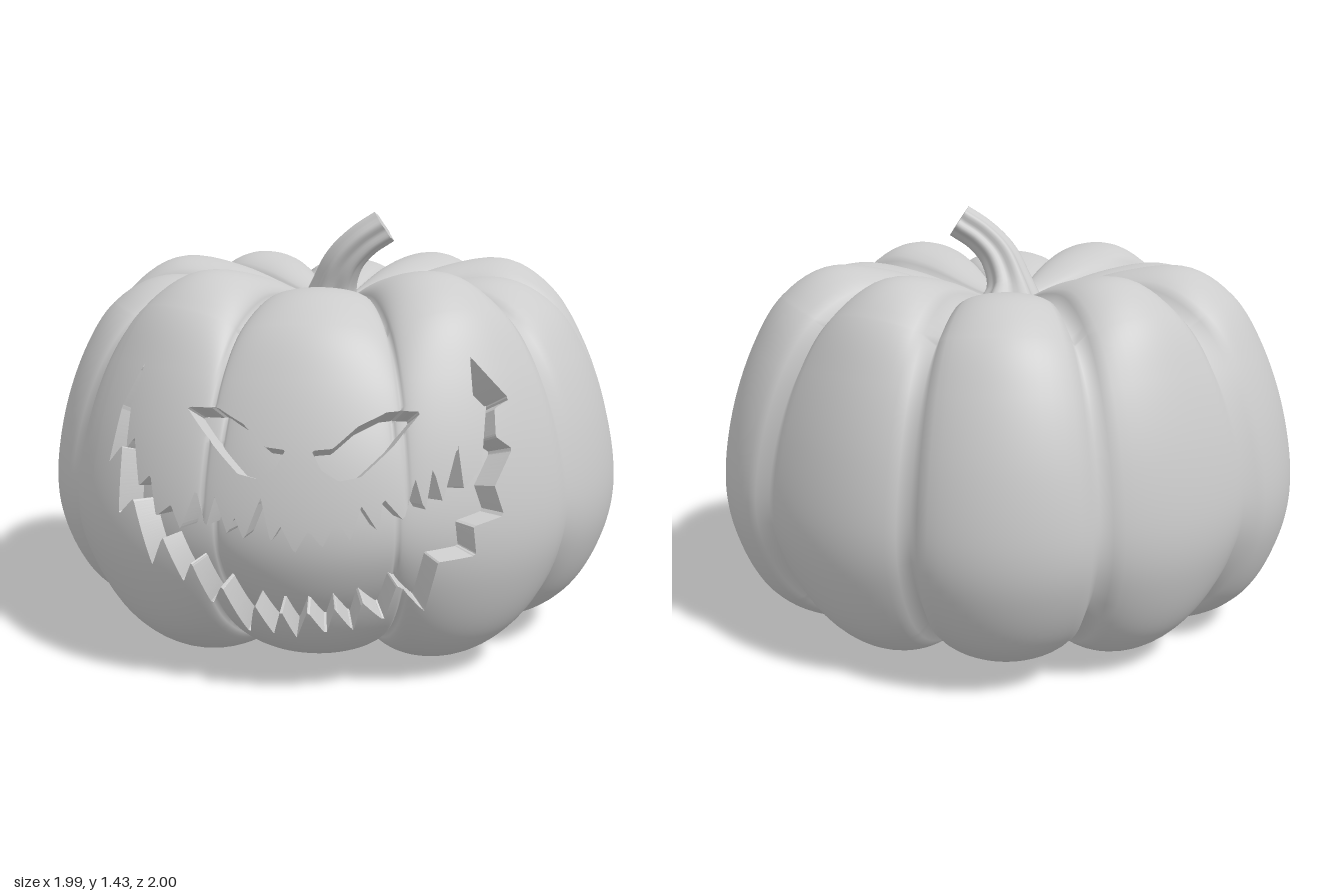
import * as THREE from 'three';
import { mergeVertices } from 'three/addons/utils/BufferGeometryUtils.js';

const v2 = (list) => list.map(([x, y]) => new THREE.Vector2(x, y));

// Matching radius/height profiles, bottom to top: along a rib crest and along a groove
const crest = new THREE.SplineCurve(v2([[0, 0.12], [0.3, 0.035], [0.52, 0], [0.73, 0.04], [0.88, 0.15], [0.97, 0.33], [1, 0.52],
  [0.965, 0.76], [0.885, 0.99], [0.78, 1.16], [0.62, 1.255], [0.4, 1.23], [0.17, 1.15], [0, 1.1]]));
const groove = new THREE.SplineCurve(v2([[0, 0.12], [0.29, 0.09], [0.47, 0.09], [0.68, 0.13], [0.85, 0.23], [0.96, 0.37], [1, 0.53],
  [0.96, 0.75], [0.87, 0.95], [0.74, 1.08], [0.55, 1.15], [0.37, 1.15], [0.16, 1.12], [0, 1.1]]));

// Radius of each rib, radius of the groove after it, and upward swell of each rib, from the front rib round
const ribRadius = [0.995, 1, 0.99, 1.01, 0.955, 1, 0.955, 1.01, 0.99, 1];
const grooveRadius = [0.975, 0.97, 0.98, 0.945, 0.915, 0.915, 0.945, 0.98, 0.97, 0.975];
const ribSwell = [0.55, 1, 0.6, 1, 1, 0.65, 1, 1, 0.6, 1];
const RIB = Math.PI / 5;

function skin(angle, t) {
  const k = Math.round(angle / RIB);
  const across = angle / RIB - k;
  const w = Math.pow(Math.max(0, Math.cos(across * Math.PI)), 0.47);
  const i = ((k % 10) + 10) % 10;
  const a = groove.getPoint(t), b = crest.getPoint(t);
  const grooveR = a.x * THREE.MathUtils.lerp(grooveRadius[(i + 9) % 10], grooveRadius[i], across + 0.5);
  const r = THREE.MathUtils.lerp(grooveR, b.x * ribRadius[i], w);
  const y = a.y + (b.y - a.y) * w * ribSwell[i];
  return new THREE.Vector3(r * Math.sin(angle), y, r * Math.cos(angle));
}

// Carved outlines, seen from the front
const eye = [[-0.36, 0.885], [-0.26, 0.885], [-0.18, 0.85], [-0.11, 0.79], [-0.05, 0.785],
  [-0.08, 0.73], [-0.13, 0.7], [-0.19, 0.71], [-0.28, 0.79]];
const lowerTeeth = [[-0.51, 1.0], [-0.585, 0.86], [-0.625, 0.69], [-0.575, 0.75], [-0.585, 0.54], [-0.53, 0.6],
  [-0.47, 0.4], [-0.43, 0.5], [-0.37, 0.36], [-0.34, 0.43], [-0.29, 0.28], [-0.25, 0.36], [-0.18, 0.18],
  [-0.15, 0.31], [-0.1, 0.2], [-0.07, 0.3], [-0.03, 0.19], [0.01, 0.3], [0.06, 0.21], [0.09, 0.31], [0.14, 0.22],
  [0.17, 0.33], [0.23, 0.25], [0.27, 0.38], [0.35, 0.28], [0.39, 0.45], [0.5, 0.46], [0.49, 0.55],
  [0.58, 0.57], [0.55, 0.66], [0.6, 0.76], [0.55, 0.8], [0.545, 0.88], [0.59, 0.9], [0.47, 1.03]];
const upperTeeth = [[0.485, 0.88], [0.52, 0.89], [0.51, 0.72], [0.46, 0.66], [0.44, 0.79], [0.4, 0.63], [0.37, 0.73],
  [0.35, 0.6], [0.32, 0.7], [0.29, 0.58], [0.23, 0.65], [0.22, 0.55], [0.17, 0.63], [0.14, 0.53], [0.1, 0.59],
  [0.06, 0.51], [0.02, 0.56], [-0.02, 0.49], [-0.06, 0.57], [-0.09, 0.52], [-0.12, 0.65], [-0.17, 0.52],
  [-0.2, 0.59], [-0.22, 0.53], [-0.26, 0.64], [-0.29, 0.54], [-0.32, 0.655], [-0.37, 0.53], [-0.4, 0.6],
  [-0.45, 0.56], [-0.47, 0.68], [-0.51, 0.64], [-0.53, 0.78], [-0.56, 0.74], [-0.55, 0.87]];
const cuts = [eye, eye.map(([x, y]) => [-0.025 - x, y]), [...lowerTeeth, ...upperTeeth]];

// Signed distance to the carving: negative inside a cut
function carveDistance(p) {
  if (p.z < 0.4) return 1;
  let best = 1;
  for (const poly of cuts) {
    let inside = false, near = Infinity;
    poly.forEach(([ax, ay], i) => {
      const [bx, by] = poly[(i + 1) % poly.length];
      const dx = bx - ax, dy = by - ay;
      const u = THREE.MathUtils.clamp(((p.x - ax) * dx + (p.y - ay) * dy) / (dx * dx + dy * dy), 0, 1);
      near = Math.min(near, Math.hypot(p.x - ax - u * dx, p.y - ay - u * dy));
      if ((ay > p.y) !== (by > p.y) && p.x < ax + (dx * (p.y - ay)) / dy) inside = !inside;
    });
    best = Math.min(best, inside ? -near : near);
  }
  return best;
}

// Point at the bottom of the carving: the cut narrows towards the middle of the face
const sunk = (p) => new THREE.Vector3(p.x * 0.89, THREE.MathUtils.lerp(p.y, 0.58, 0.13), p.z - 0.045);

function range(from, to, n) {
  return Array.from({ length: n }, (_, i) => from + ((to - from) * i) / n);
}

function toGeometry(points, smooth) {
  let geo = new THREE.BufferGeometry().setFromPoints(points);
  if (smooth) geo = mergeVertices(geo, 1e-5);
  geo.computeVertexNormals();
  return geo;
}

// Splits a grid over the skin into outer skin, sunken floor and connecting walls
function carvedBody() {
  const q = Math.PI / 4;
  const angles = [...range(-q, q, 180), ...range(q, 7 * q, 120), 7 * q];
  const rows = [...range(0, 3.8 / 13, 22), ...range(3.8 / 13, 9 / 13, 110), ...range(9 / 13, 1, 22), 1];
  const grid = angles.map((a, i) => rows.map((t) => {
    const p = skin(i === angles.length - 1 ? angles[0] : a, t);
    return { p, d: carveDistance(p) };
  }));
  const outer = [], floor = [], walls = [];

  const fan = (list, target) => {
    for (let i = 1; i + 1 < list.length; i++) target.push(list[0], list[i], list[i + 1]);
  };
  const addTriangle = (tri) => {
    const kept = [], removed = [], rim = [];
    tri.forEach((a, i) => {
      const b = tri[(i + 1) % 3];
      (a.d >= 0 ? kept : removed).push(a.p);
      if ((a.d >= 0) !== (b.d >= 0)) {
        const c = a.p.clone().lerp(b.p, a.d / (a.d - b.d));
        kept.push(c);
        removed.push(c);
        rim.push(c);
      }
    });
    fan(kept, outer);
    fan(removed.map(sunk), floor);
    if (rim.length === 2) {
      const [a, b] = rim, a2 = sunk(a), b2 = sunk(b);
      walls.push(a, b, b2, a, b2, a2);
    }
  };
  for (let i = 0; i + 1 < angles.length; i++) {
    for (let j = 0; j + 1 < rows.length; j++) {
      const a = grid[i][j], b = grid[i + 1][j], c = grid[i + 1][j + 1], d = grid[i][j + 1];
      if (j > 0) addTriangle([a, b, c]);
      if (j + 2 < rows.length) addTriangle([a, c, d]);
    }
  }
  return { outer: toGeometry(outer, true), floor: toGeometry(floor, true), walls: toGeometry(walls, false) };
}

// Ridged stem swept along a bent path, tapering from a flared foot
function stemGeometry() {
  const path = new THREE.CatmullRomCurve3([[-0.01, 1.07, 0.01], [-0.005, 1.16, 0.045], [0.035, 1.26, 0.08], [0.1, 1.33, 0.095],
    [0.175, 1.38, 0.095]].map((p) => new THREE.Vector3(...p)));
  const radius = new THREE.SplineCurve(v2([[0, 0.12], [0.25, 0.075], [0.5, 0.062], [0.75, 0.056], [1, 0.055]]));
  const steps = 20, sides = 48;
  const frames = path.computeFrenetFrames(steps);
  const rings = range(0, steps + 1, steps + 1).map((i) => range(0, 2 * Math.PI, sides).map((a) => {
    const r = radius.getPoint(i / steps).y * (1 + 0.12 * Math.cos(6 * a));
    return path.getPointAt(i / steps).addScaledVector(frames.normals[i], r * Math.cos(a))
      .addScaledVector(frames.binormals[i], r * Math.sin(a));
  }));
  const side = [], cap = [], tip = path.getPoint(1);
  for (let k = 0; k < sides; k++) {
    const n = (k + 1) % sides;
    for (let i = 0; i < steps; i++) {
      const a = rings[i][k], b = rings[i][n], c = rings[i + 1][n], d = rings[i + 1][k];
      side.push(a, b, c, a, c, d);
    }
    cap.push(tip, rings[steps][k], rings[steps][n]);
  }
  return { side: toGeometry(side, true), cap: toGeometry(cap, false) };
}

export function createModel() {
  const model = new THREE.Group();
  model.name = 'carvedPumpkin';
  const material = new THREE.MeshStandardMaterial({ color: 0xcccccc, side: THREE.DoubleSide });
  const add = (name, geometry) => {
    const mesh = new THREE.Mesh(geometry, material);
    mesh.name = name;
    model.add(mesh);
  };
  const body = carvedBody();
  add('ribbedSkin', body.outer);
  add('carvingFloor', body.floor);
  add('carvingWalls', body.walls);
  const stem = stemGeometry();
  add('stem', stem.side);
  add('stemCutEnd', stem.cap);
  return model;
}
